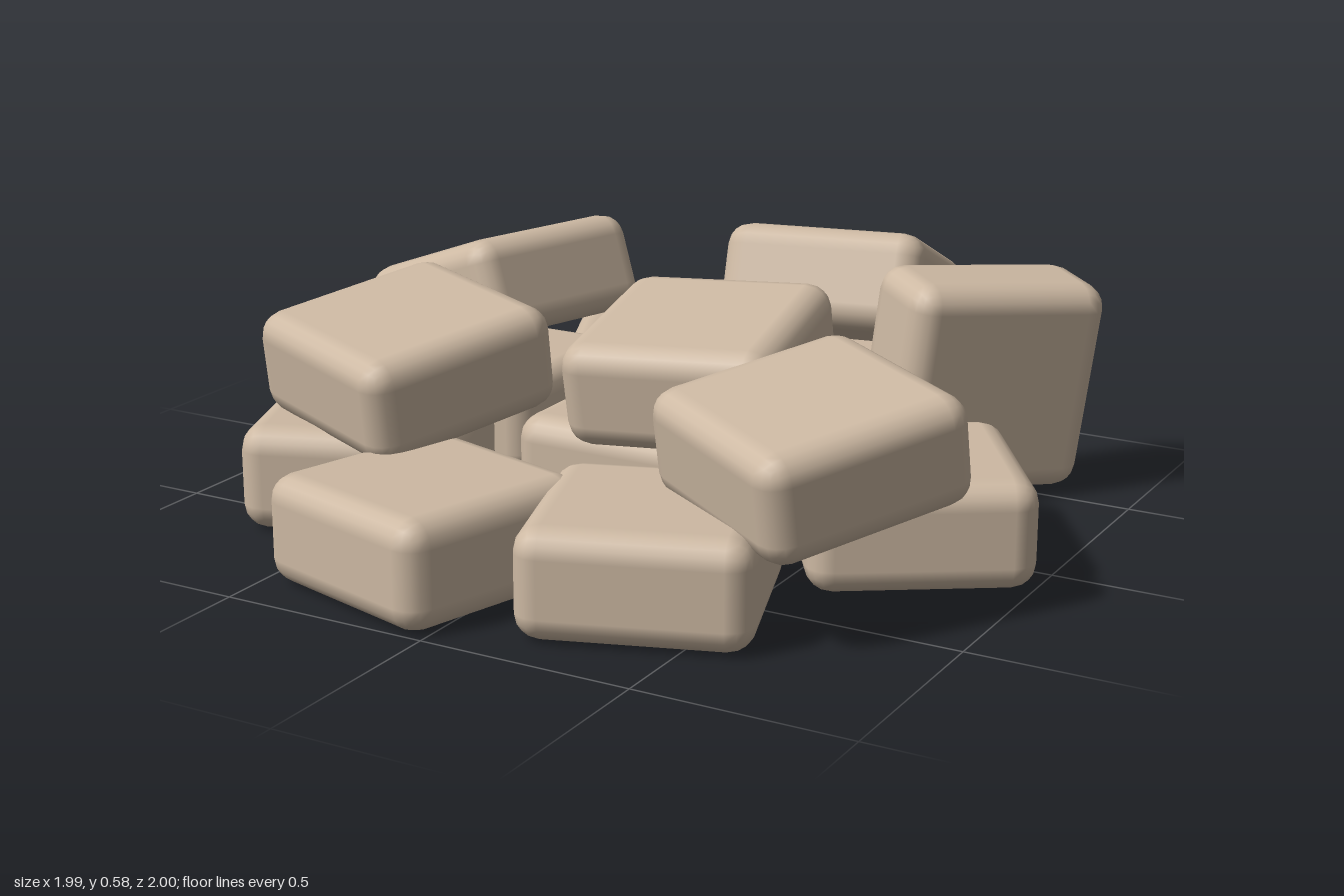
import * as THREE from 'three';
import { RoundedBoxGeometry } from 'three/addons/geometries/RoundedBoxGeometry.js';

// Each stone: name, x, y, z, yaw, pitch, roll (degrees)
const STONES = [
  // bottom layer, lying flat
  ['floorStoneCentre', 0.01, 0.13, 0.01, 0, 0, 0],
  ['floorStoneLeft', 0.67, 0.13, 0.05, 33, 0, 0],
  ['floorStoneFrontLeft', 0.33, 0.13, 0.61, 19, 0, 0],
  ['floorStoneFront', -0.18, 0.13, 0.71, -16, 0, 0],
  ['floorStoneFrontRight', -0.59, 0.13, 0.34, 21, 0, 0],
  ['floorStoneRight', -0.605, 0.13, -0.22, 0, 0, 0],
  ['floorStoneBackRight', -0.33, 0.13, -0.645, 24, 0, 0],
  ['floorStoneBack', 0.18, 0.13, -0.515, 0, 0, 0],
  ['floorStoneBackLeft', 0.22, 0.145, -0.65, -7, 0, 0],
  // upper layer, leaning
  ['upperStoneCentre', 0.145, 0.385, 0.055, 8, 8, 3],
  ['upperStoneFrontLeft', 0.615, 0.37, 0.44, -32, 9, -4],
  ['upperStoneFrontRight', -0.465, 0.385, 0.36, -22, 8, -4],
  ['upperStoneBackRight', -0.68, 0.36, -0.385, -17, 0, 20],
  ['upperStoneBack', 0.15, 0.39, -0.7, 8, -22, 1],
  // stone standing on its edge
  ['standingStone', 0.635, 0.3, -0.43, -39, -5, 85],
];

export function createModel() {
  const group = new THREE.Group();
  group.name = 'stonePile';

  const stone = new THREE.MeshStandardMaterial({ color: 0xcdb9a3 });
  stone.name = 'sandstone';

  // Softly rounded square slab shared by all stones
  const slab = new RoundedBoxGeometry(0.51, 0.25, 0.51, 2, 0.06);
  const rad = THREE.MathUtils.degToRad;

  for (const [name, x, y, z, yaw, pitch, roll] of STONES) {
    const mesh = new THREE.Mesh(slab, stone);
    mesh.name = name;
    mesh.position.set(x, y, z);
    mesh.rotation.set(rad(pitch), rad(yaw), rad(roll), 'YXZ');
    group.add(mesh);
  }
  return group;
}
